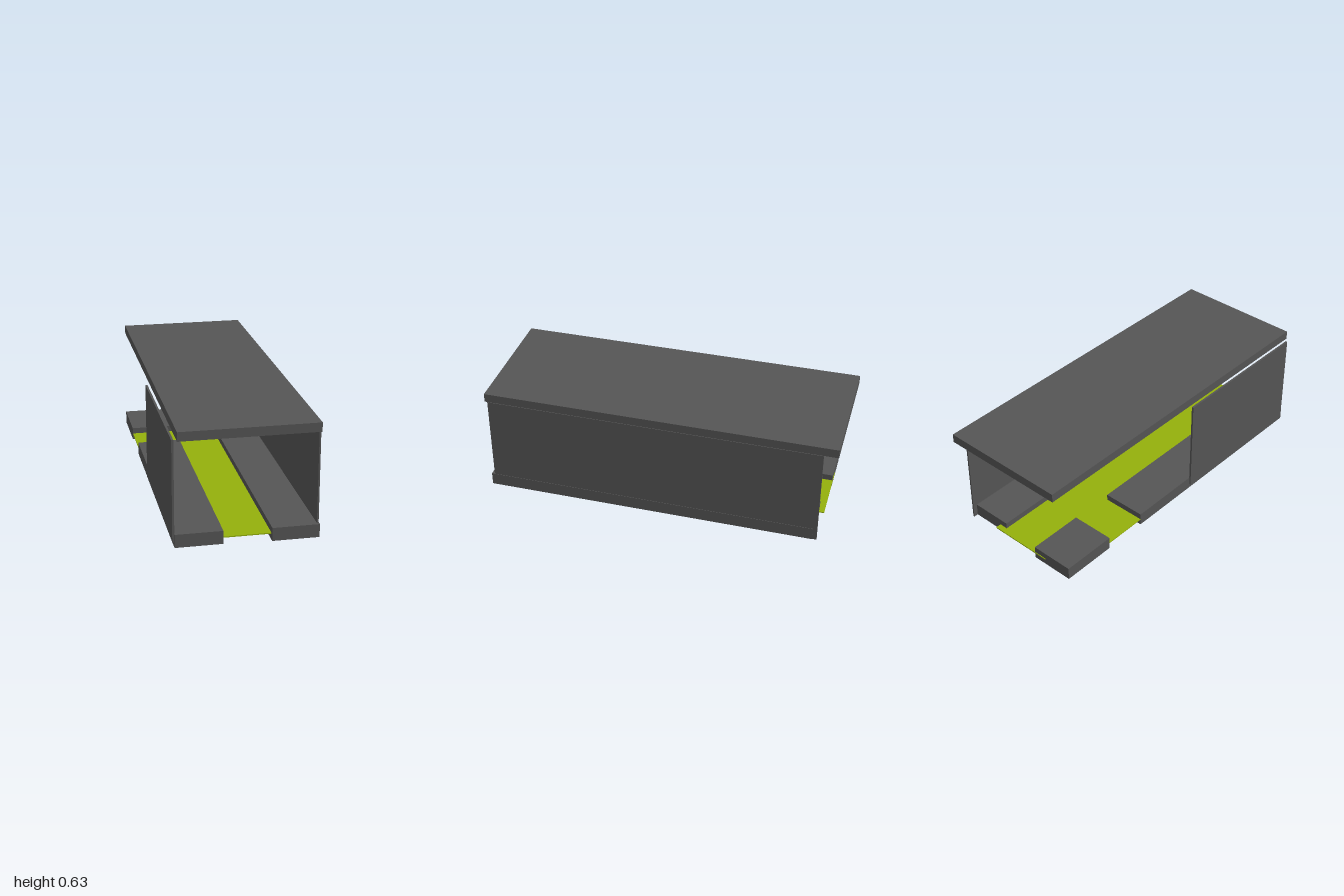
import * as THREE from 'three';

export function createModel() {
  const group = new THREE.Group();
  const grey = new THREE.MeshStandardMaterial({ color: 0x555555 });
  grey.name = 'dark grey';
  const lime = new THREE.MeshStandardMaterial({ color: 0x94b00c });
  lime.name = 'yellow green';

  // Box given by its limits along each axis
  function slab(name, material, [x0, x1], [y0, y1], [z0, z1]) {
    const mesh = new THREE.Mesh(new THREE.BoxGeometry(x1 - x0, y1 - y0, z1 - z0), material);
    mesh.position.set((x0 + x1) / 2, (y0 + y1) / 2, (z0 + z1) / 2);
    mesh.name = name;
    group.add(mesh);
    return mesh;
  }

  // Roof and side walls; the left wall leans in very slightly
  slab('roof', grey, [-0.36, 0.38], [0.58, 0.63], [-1, 0.997]);
  slab('leftWall', grey, [0.37, 0.379], [0, 0.576], [-0.92, 0.983]).rotation.z = 0.003;
  slab('rightWall', grey, [-0.385, -0.374], [0.025, 0.581], [0.085, 0.97]);

  // Raised platforms, with a side opening on the right
  const height = [0, 0.073];
  slab('leftPlatform', grey, [0.13, 0.382], height, [-0.895, 1]);
  slab('rightFrontPlatform', grey, [-0.376, -0.123], height, [-0.345, 0.985]);
  slab('rightBackPlatform', grey, [-0.376, -0.123], height, [-0.924, -0.602]);

  // Sunken walkway and its branch through the opening
  const floor = [0.032, 0.038];
  slab('walkway', lime, [-0.2, 0.18], floor, [-0.927, 0.98]);
  slab('sideWalkway', lime, [-0.374, -0.2], floor, [-0.61, -0.335]);

  return group;
}
